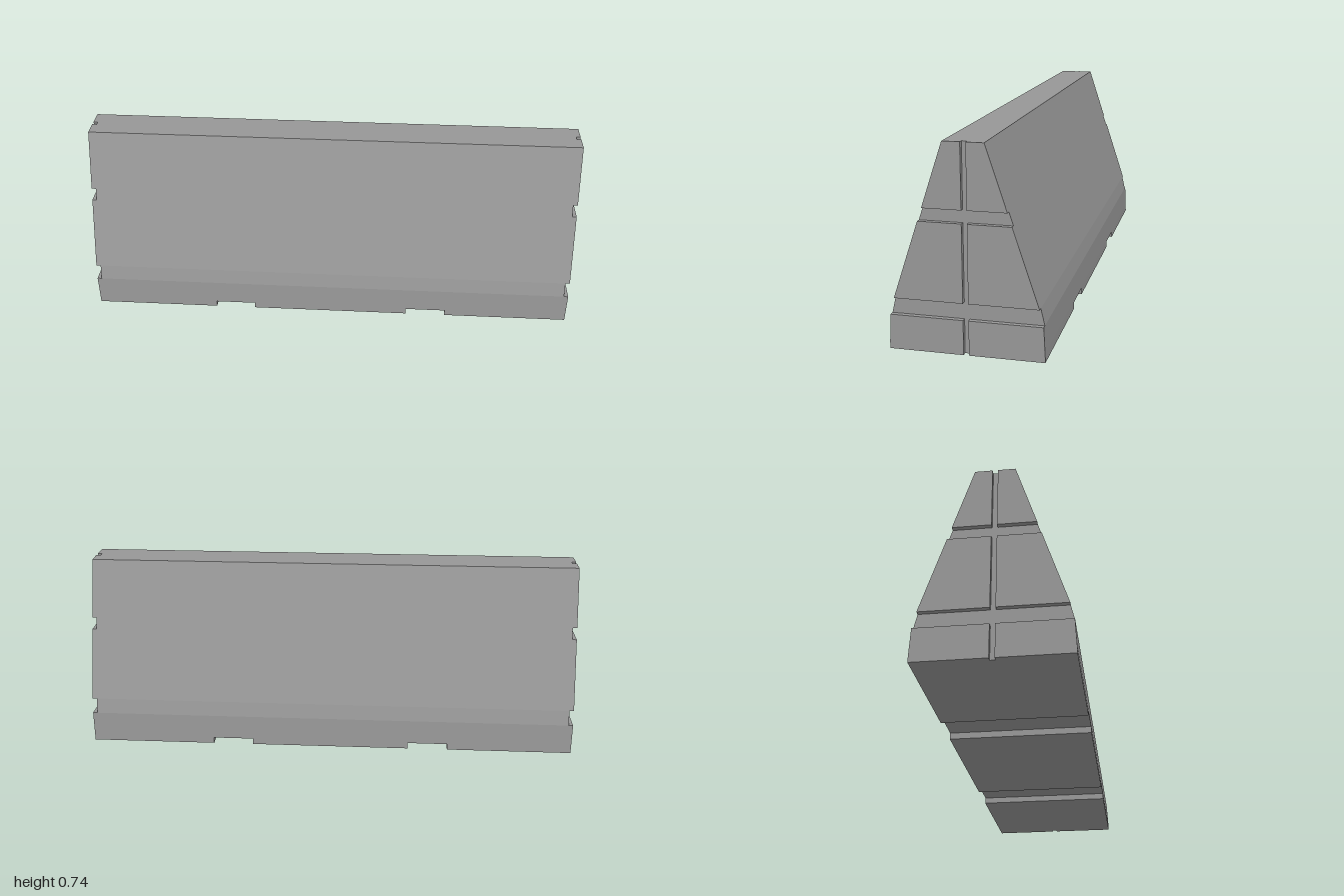
import * as THREE from 'three';

// Half cross-section of the barrier: [half depth, height]
const TOP = 0.738;
const PROFILE = [[0.275, 0], [0.274, 0.03], [0.269, 0.125], [0.255, 0.185], [0.072, TOP]];
const CORE_END = 0.982; // floor of the end grooves
const SLOT = 0.0095;    // half width of the upright end groove
const NOTCH = { inner: 0.325, outer: 0.49, height: 0.025 };

function halfDepth(y) {
  for (let i = 1; i < PROFILE.length; i++) {
    const [d0, y0] = PROFILE[i - 1], [d1, y1] = PROFILE[i];
    if (y <= y1) return d0 + (d1 - d0) * (y - y0) / (y1 - y0);
  }
  return PROFILE[PROFILE.length - 1][0];
}

// Outer edge of the profile between two heights
function edge(y0, y1) {
  const inner = PROFILE.filter(([, y]) => y > y0 && y < y1);
  return [[halfDepth(y0), y0], ...inner, [halfDepth(y1), y1]];
}

export function createModel() {
  const group = new THREE.Group();
  group.name = 'roadBarrier';
  const material = new THREE.MeshStandardMaterial({ color: 0x979797, flatShading: true });

  // Extrude a (depth, height) outline along x
  function addSlab(name, outline, x0, x1) {
    const shape = new THREE.Shape(outline.map(([d, y]) => new THREE.Vector2(d, y)));
    const geometry = new THREE.ExtrudeGeometry(shape, { depth: x1 - x0, bevelEnabled: false });
    geometry.rotateY(Math.PI / 2).translate(x0, 0, 0);
    const mesh = new THREE.Mesh(geometry, material);
    mesh.name = name;
    group.add(mesh);
  }

  const fullSection = (y0, y1) => {
    const right = edge(y0, y1);
    return [...right, ...right.map(([d, y]) => [-d, y]).reverse()];
  };

  // Main body above the lifting notches
  addSlab('body', fullSection(NOTCH.height, TOP), -CORE_END, CORE_END);

  // Three feet, with the lifting notches between them
  const feet = [[-CORE_END, -NOTCH.outer], [-NOTCH.inner, NOTCH.inner], [NOTCH.outer, CORE_END]];
  for (const [x0, x1] of feet) addSlab('foot', fullSection(0, NOTCH.height), x0, x1);

  // Raised end panels, separated by one upright and two level grooves
  const rows = [[0, 0.125], [0.185, 0.463], [0.509, TOP]];
  for (const [x0, x1] of [[-1, -CORE_END], [CORE_END, 1]]) {
    for (const [y0, y1] of rows) {
      for (const side of [-1, 1]) {
        const outline = [[SLOT, y0], ...edge(y0, y1), [SLOT, y1]].map(([d, y]) => [d * side, y]);
        addSlab('endPanel', outline, x0, x1);
      }
    }
  }
  return group;
}
